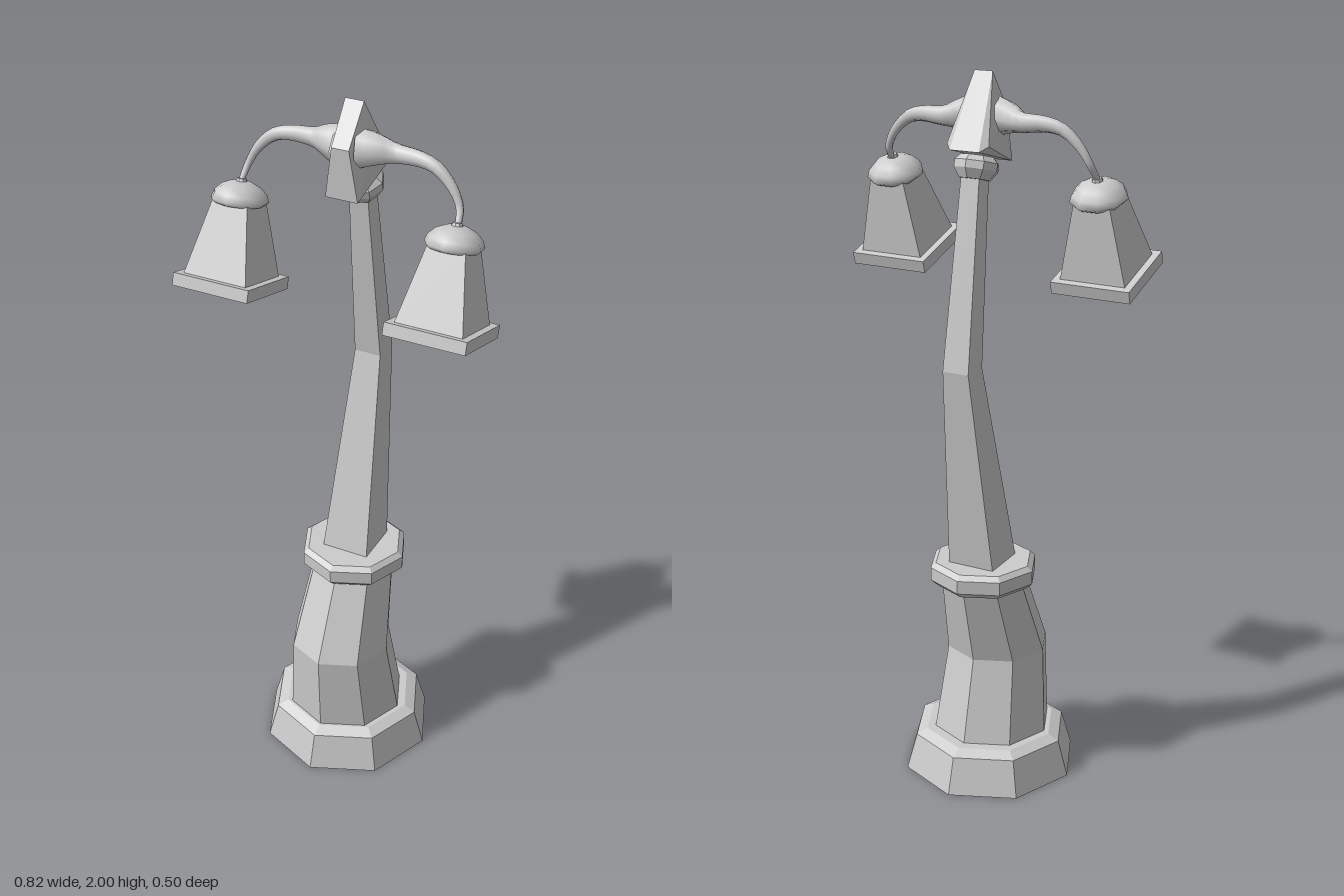
import * as THREE from 'three';
import { ConvexGeometry } from 'three/addons/geometries/ConvexGeometry.js';

const flat = new THREE.MeshStandardMaterial({ color: 0xcccccc, flatShading: true });
const smooth = new THREE.MeshStandardMaterial({ color: 0xcccccc, side: THREE.DoubleSide });

function add(parent, name, geometry, material = flat) {
  const mesh = new THREE.Mesh(geometry, material);
  mesh.name = name;
  parent.add(mesh);
  return mesh;
}

// Stack of horizontal rings, listed from top to bottom as [y, z centre, radius]
function stack(sides, rings, turn = 0) {
  const steps = rings.length - 1;
  const geo = new THREE.CylinderGeometry(1, 1, 1, sides, steps, false, turn);
  const p = geo.attributes.position;
  for (let i = 0; i < p.count; i++) {
    const [y, z, r] = rings[Math.round((0.5 - p.getY(i)) * steps)];
    p.setXYZ(i, p.getX(i) * r, y, p.getZ(i) * r + z);
  }
  geo.computeVertexNormals();
  return geo;
}

// Square frustum given by half widths
function frustum(top, bottom, height) {
  return new THREE.CylinderGeometry(top * Math.SQRT2, bottom * Math.SQRT2, height, 4, 1, false, Math.PI / 4);
}

// Tube whose radius follows a list of [t, radius]
function taperedTube(points, radii) {
  const segments = 18, sides = 8, base = 0.01;
  const curve = new THREE.CatmullRomCurve3(points.map(p => new THREE.Vector3(...p)));
  const geo = new THREE.TubeGeometry(curve, segments, base, sides);
  const p = geo.attributes.position, n = geo.attributes.normal;
  for (let i = 0; i < p.count; i++) {
    const t = Math.floor(i / (sides + 1)) / segments;
    let k = 1;
    while (k < radii.length - 1 && t > radii[k][0]) k++;
    const [t0, r0] = radii[k - 1], [t1, r1] = radii[k];
    const d = r0 + (r1 - r0) * (t - t0) / (t1 - t0) - base;
    p.setXYZ(i, p.getX(i) + n.getX(i) * d, p.getY(i) + n.getY(i) * d, p.getZ(i) + n.getZ(i) * d);
  }
  return geo;
}

function createLantern() {
  const lantern = new THREE.Group();
  lantern.name = 'lantern';
  // Domed cap with an overhanging lip
  const profile = [[0.03, -0.065], [0.066, -0.06], [0.077, -0.05], [0.07, -0.032], [0.052, -0.014], [0.028, -0.003], [0, 0]];
  add(lantern, 'lanternCap', new THREE.LatheGeometry(profile.map(p => new THREE.Vector2(...p)), 9), smooth);
  add(lantern, 'capRing', new THREE.CylinderGeometry(0.012, 0.017, 0.012, 8));
  add(lantern, 'lanternBody', frustum(0.05, 0.092, 0.205)).position.y = -0.15;
  add(lantern, 'lanternBasePlate', new THREE.BoxGeometry(0.222, 0.034, 0.222)).position.y = -0.266;
  return lantern;
}

export function createModel() {
  const model = new THREE.Group();
  model.name = 'streetLamp';

  // Octagonal foot, bent pedestal and collar
  add(model, 'foot', stack(8, [[0.12, 0, 0.19], [0.105, 0, 0.222], [0, 0, 0.252]]));
  add(model, 'pedestal', stack(8, [[0.6, -0.04, 0.12], [0.36, 0.045, 0.147], [0.11, 0.01, 0.172]]));
  add(model, 'pedestalCollar', stack(8, [
    [0.656, -0.04, 0.138], [0.643, -0.04, 0.153], [0.605, -0.04, 0.153], [0.588, -0.04, 0.135],
  ]));

  // Crooked square pole
  const q = Math.SQRT2;
  add(model, 'pole', stack(4, [
    [1.76, -0.08, 0.026 * q], [1.24, -0.155, 0.038 * q], [0.62, -0.04, 0.07 * q],
  ], Math.PI / 4));

  // Tilted collar under the head
  const collar = add(model, 'headCollar', stack(8, [
    [0.035, 0, 0.045], [0.02, 0, 0.06], [0, 0, 0.06], [-0.025, 0, 0.042],
  ]));
  collar.position.set(0, 1.755, -0.077);
  collar.rotation.x = 0.28;

  // Faceted head: [half width, y, z] corner pairs
  const corners = [
    [0.026, 2.0, -0.035], [0.024, 1.9, 0.045], [0.045, 1.762, 0.038],
    [0.042, 1.812, -0.14], [0.06, 1.825, -0.12], [0.05, 1.88, -0.02],
  ];
  add(model, 'head', new ConvexGeometry(corners.flatMap(([x, y, z]) =>
    [new THREE.Vector3(x, y, z), new THREE.Vector3(-x, y, z)])));

  // Curved arms and hanging lanterns
  const armPath = [
    [0.02, 1.885, -0.015], [0.06, 1.885, -0.025], [0.11, 1.878, -0.04], [0.18, 1.878, -0.036],
    [0.225, 1.866, -0.032], [0.27, 1.825, -0.027], [0.295, 1.78, -0.018], [0.302, 1.74, 0.01],
  ];
  const armRadii = [[0, 0.055], [0.1, 0.045], [0.25, 0.026], [0.45, 0.02], [0.6, 0.016], [0.8, 0.011], [1, 0.008]];
  for (const side of [1, -1]) {
    const drop = side < 0 ? 0.008 : 0;
    const label = side > 0 ? 'left' : 'right';
    add(model, label + 'Arm', taperedTube(armPath.map(([x, y, z]) => [x * side, y, z]), armRadii), smooth);
    const lantern = createLantern();
    lantern.name = label + 'Lantern';
    lantern.position.set(0.301 * side, 1.749 - drop, 0.01);
    lantern.rotation.x = -0.28;
    model.add(lantern);
  }
  return model;
}
